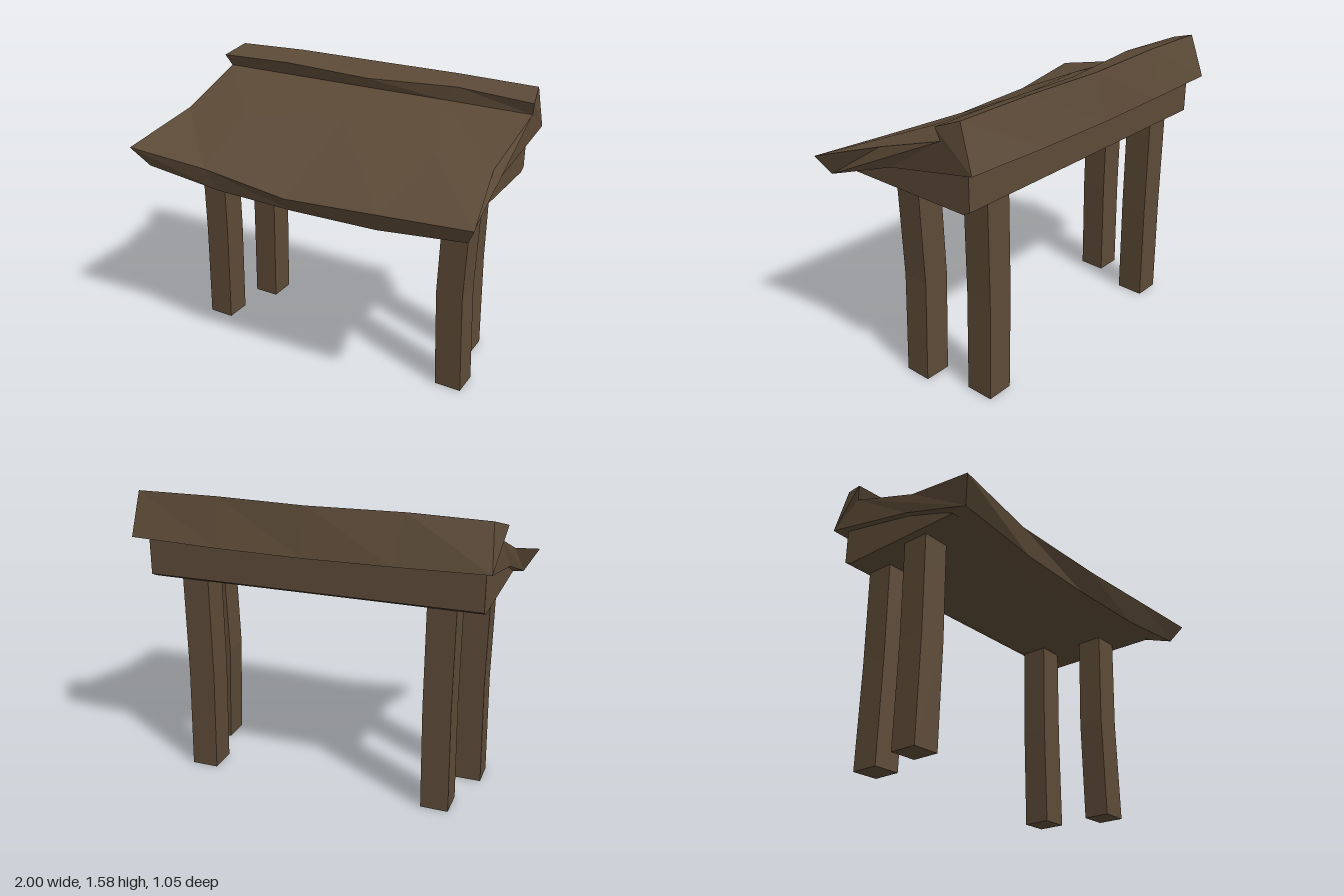
import * as THREE from 'three';

const faceted = (geometry) => {
  const g = geometry.index ? geometry.toNonIndexed() : geometry;
  g.computeVertexNormals();
  return g;
};

// Loft closed [x, y, z] sections along x; sections run counter-clockwise seen from +x.
function loft(sections) {
  const n = sections[0].length, last = sections.length - 1, pos = [];
  const tri = (a, b, c) => pos.push(...a, ...b, ...c);
  for (let i = 0; i < last; i++) {
    for (let j = 0; j < n; j++) {
      const k = (j + 1) % n;
      const a = sections[i][j], b = sections[i][k], c = sections[i + 1][k], d = sections[i + 1][j];
      tri(a, b, c);
      tri(a, c, d);
    }
  }
  // End caps
  const cap = (s, flip) => {
    const flat = s.map(([, y, z]) => new THREE.Vector2(-z, y));
    for (const [a, b, c] of THREE.ShapeUtils.triangulateShape(flat, [])) {
      if (flip) tri(s[a], s[c], s[b]);
      else tri(s[a], s[b], s[c]);
    }
  };
  cap(sections[0], true);
  cap(sections[last], false);
  const g = new THREE.BufferGeometry();
  g.setAttribute('position', new THREE.Float32BufferAttribute(pos, 3));
  return faceted(g);
}

// Square post whose middle is pushed sideways by bend
function postGeometry(width, height, depth, bend, topShift) {
  const g = new THREE.BoxGeometry(width, height, depth, 1, 2, 1);
  const p = g.attributes.position;
  for (let i = 0; i < p.count; i++) {
    const y = p.getY(i);
    if (Math.abs(y) < 0.01) p.setX(i, p.getX(i) + bend);
    else if (y > 0) p.setX(i, p.getX(i) + topShift);
  }
  g.translate(0, height / 2, 0);
  return faceted(g);
}

export function createModel() {
  const model = new THREE.Group();
  model.name = 'shelter';
  const wood = new THREE.MeshStandardMaterial({ color: 0x5c4a37 });
  wood.name = 'dark wood';
  const add = (name, geometry, x = 0, z = 0) => {
    const mesh = new THREE.Mesh(geometry, wood);
    mesh.name = name;
    mesh.position.set(x, 0, z);
    model.add(mesh);
  };

  // Sagging roof slab with a raised ridge. Each section in order: eave top, eave bottom,
  // underside, back bottom, ridge top, ridge lip, notch, slope middle
  add('roof', loft([
    [[-1, 1.195, 0.52], [-0.93, 1.08, 0.45], [-0.92, 1.225, 0.03], [-0.93, 1.34, -0.525],
      [-0.91, 1.57, -0.45], [-0.955, 1.525, -0.31], [-0.93, 1.46, -0.34], [-0.93, 1.31, 0.08]],
    [[-0.53, 1.15, 0.478], [-0.46, 1.03, 0.45], [-0.46, 1.18, 0.03], [-0.46, 1.33, -0.525],
      [-0.5, 1.58, -0.46], [-0.5, 1.54, -0.3], [-0.46, 1.46, -0.34], [-0.53, 1.335, 0.08]],
    [[0, 1.113, 0.522], [0, 1.02, 0.45], [0, 1.17, 0.03], [0, 1.325, -0.525],
      [0, 1.575, -0.475], [0, 1.517, -0.32], [0, 1.46, -0.34], [0.02, 1.37, -0.03]],
    [[0.52, 1.145, 0.518], [0.48, 1.03, 0.45], [0.46, 1.18, 0.03], [0.46, 1.33, -0.525],
      [0.48, 1.58, -0.46], [0.53, 1.54, -0.345], [0.46, 1.46, -0.345], [0.6, 1.33, 0.08]],
    [[1, 1.175, 0.513], [0.95, 1.08, 0.45], [0.92, 1.225, 0.03], [0.945, 1.345, -0.525],
      [0.93, 1.575, -0.45], [0.955, 1.525, -0.32], [0.945, 1.46, -0.34], [0.92, 1.31, 0.1]],
  ]));

  // Wedge-shaped frame under the roof
  const wedge = new THREE.Shape([[0.33, 1.11], [-0.41, 1.11], [-0.45, 1.13], [-0.45, 1.36], [0.03, 1.25]]
    .map(([z, y]) => new THREE.Vector2(-z, y)));
  const frame = new THREE.ExtrudeGeometry(wedge, { depth: 1.78, bevelEnabled: false });
  frame.translate(0, 0, -0.89);
  frame.rotateY(Math.PI / 2);
  add('roofFrame', faceted(frame));

  // Posts: name, x, z, depth, bend, top shift
  for (const [name, x, z, depth, bend, shift] of [
    ['frontLeftPost', 0.757, 0.03, 0.15, -0.022, -0.005],
    ['frontRightPost', -0.776, 0.03, 0.15, 0.01, 0.004],
    ['backLeftPost', 0.663, -0.33, 0.155, -0.013, -0.008],
    ['backRightPost', -0.682, -0.33, 0.155, 0.008, 0.004],
  ]) add(name, postGeometry(0.148, 1.14, depth, bend, shift), x, z);

  return model;
}
